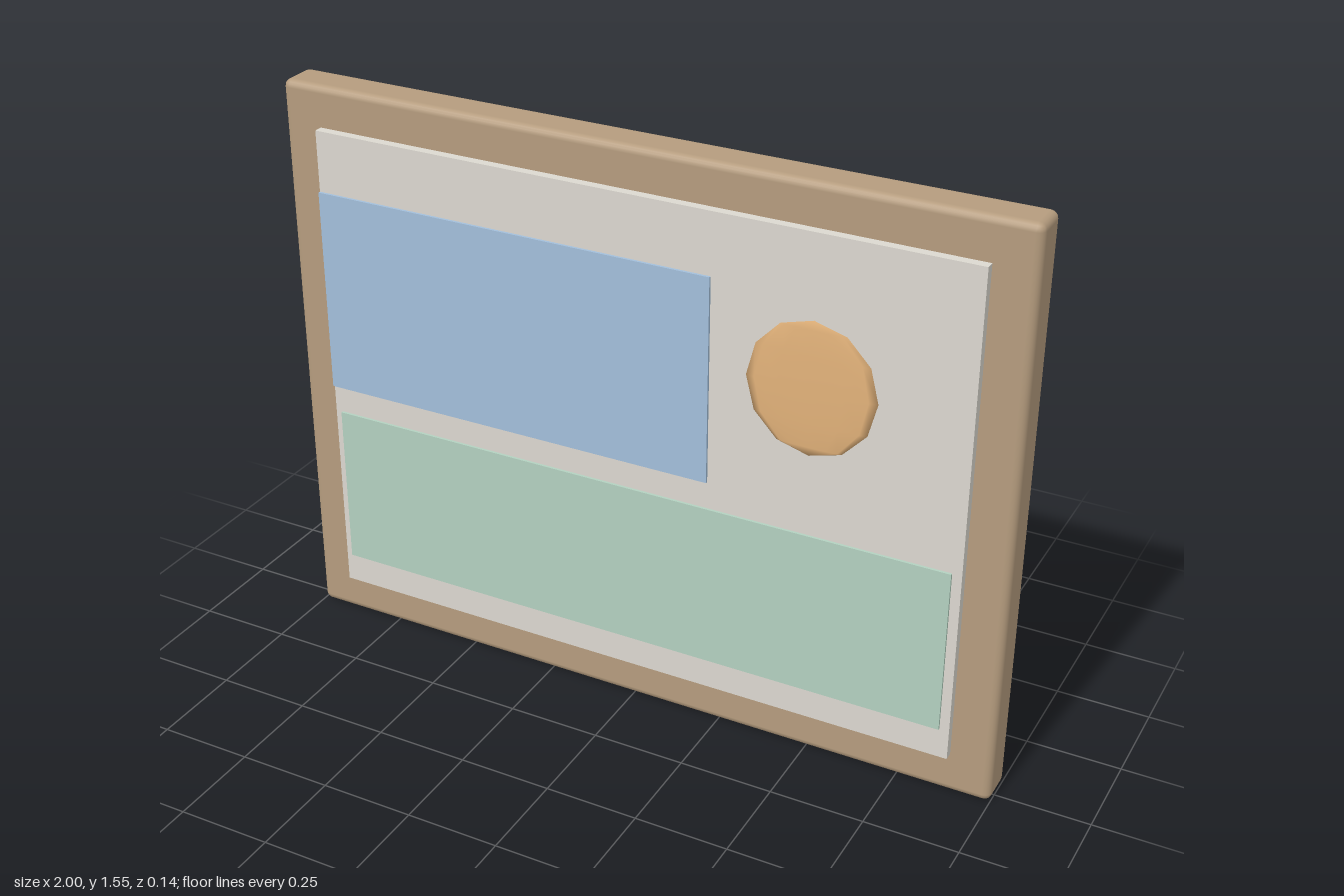
import * as THREE from 'three';
import { RoundedBoxGeometry } from 'three/addons/geometries/RoundedBoxGeometry.js';

export function createModel() {
  const group = new THREE.Group();

  const add = (name, geometry, color, x, y, z) => {
    const mesh = new THREE.Mesh(geometry, new THREE.MeshStandardMaterial({ color }));
    mesh.name = name;
    mesh.position.set(x, y, z);
    group.add(mesh);
    return mesh;
  };

  // Flat panel given by its edges, from z0 (back) to z1 (front)
  const panel = (name, color, x0, x1, y0, y1, z0, z1) =>
    add(name, new THREE.BoxGeometry(x1 - x0, y1 - y0, z1 - z0), color,
      (x0 + x1) / 2, (y0 + y1) / 2, (z0 + z1) / 2);

  // Solid wooden frame board with softened edges
  add('frame', new RoundedBoxGeometry(2, 1.555, 0.11, 2, 0.02), 0xb59c7e, 0, 0.7775, -0.015);

  // Canvas and the painted areas raised on it
  panel('canvas', 0xdcd8d0, -0.89, 0.89, 0.115, 1.445, 0.02, 0.064);
  panel('sky', 0xa3bfdb, -0.89, 0.22, 0.725, 1.28, 0.05, 0.071);
  panel('meadow', 0xb3d1c0, -0.87, 0.865, 0.2, 0.65, 0.05, 0.071);

  // Sun: a flattened low-segment ball
  const sun = add('sun', new THREE.SphereGeometry(1, 12, 6), 0xe2b27a, 0.487, 1.048, 0.066);
  sun.scale.set(0.169, 0.178, 0.008);

  return group;
}
